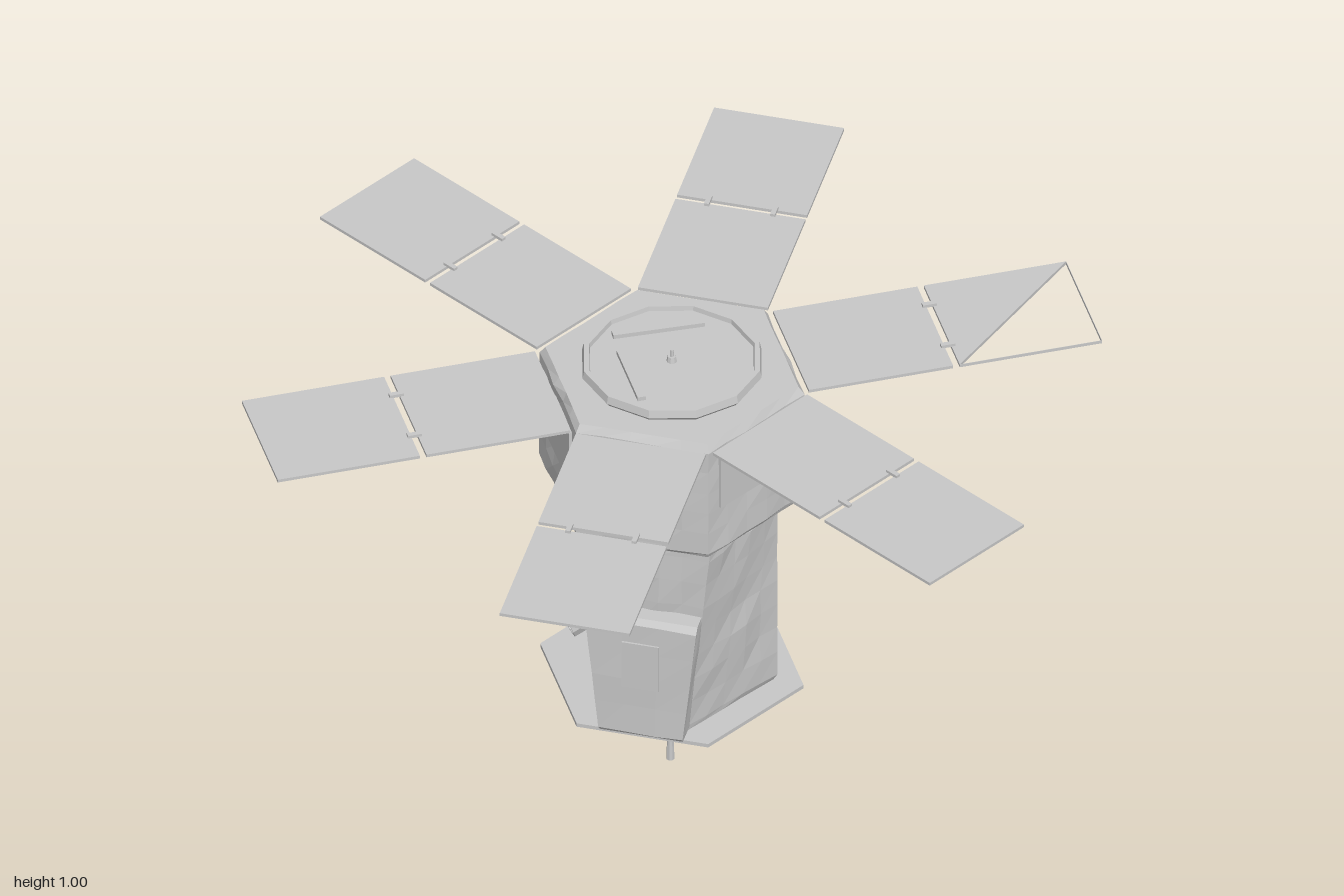
import * as THREE from 'three';

const rad = THREE.MathUtils.degToRad;

export function createModel() {
  const root = new THREE.Group();
  const grey = new THREE.MeshStandardMaterial({ color: 0xc8c8c8, flatShading: true, side: THREE.DoubleSide });
  grey.name = 'light grey';

  let seed = 7;
  const rnd = () => {
    seed = (seed * 16807) % 2147483647;
    return seed / 2147483647 - 0.5;
  };

  function add(name, geo, pos = [0, 0, 0], rotY = 0, parent = root) {
    const m = new THREE.Mesh(geo, grey);
    m.name = name;
    m.position.set(...pos);
    m.rotation.y = rotY;
    parent.add(m);
    return m;
  }
  const box = (w, h, d) => new THREE.BoxGeometry(w, h, d);

  // Lofts crumpled foil through levels {y, pts: [[x, z]...], rows}, corners kept sharp
  function foil(levels, div, amp) {
    const rings = [];
    levels.forEach((lv, i) => {
      const next = levels[i + 1];
      const rows = next ? lv.rows || 1 : 1;
      for (let r = 0; r < rows; r++) {
        const f = r / rows;
        const mix = (a, b) => a + (b - a) * f;
        const pts = next ? lv.pts.map((p, k) => [mix(p[0], next.pts[k][0]), mix(p[1], next.pts[k][1])]) : lv.pts;
        rings.push({ y: next ? mix(lv.y, next.y) : lv.y, pts });
      }
    });
    const pos = [], idx = [];
    const n = rings[0].pts.length * div;
    rings.forEach(({ y, pts }, ri) => {
      const end = ri === 0 || ri === rings.length - 1;
      pts.forEach((p, k) => {
        const q = pts[(k + 1) % pts.length];
        for (let d = 0; d < div; d++) {
          const f = d / div, a = d === 0 || end ? amp * 0.3 : amp;
          pos.push(p[0] + (q[0] - p[0]) * f + rnd() * a, y + (end ? 0 : rnd() * a), p[1] + (q[1] - p[1]) * f + rnd() * a);
        }
      });
      if (ri === 0) return;
      for (let k = 0; k < n; k++) {
        const a = (ri - 1) * n + k, b = (ri - 1) * n + (k + 1) % n;
        idx.push(a, a + n, b, b, a + n, b + n);
      }
    });
    // end caps
    const last = rings.length - 1;
    const centre = (ring) => {
      const c = ring.pts.reduce((s, p) => [s[0] + p[0], s[1] + p[1]], [0, 0]);
      pos.push(c[0] / ring.pts.length, ring.y, c[1] / ring.pts.length);
      return pos.length / 3 - 1;
    };
    const lo = centre(rings[0]), hi = centre(rings[last]);
    for (let k = 0; k < n; k++) {
      const j = (k + 1) % n;
      idx.push(lo, k, j, hi, last * n + j, last * n + k);
    }
    const g = new THREE.BufferGeometry();
    g.setAttribute('position', new THREE.Float32BufferAttribute(pos, 3));
    g.setIndex(idx);
    g.computeVertexNormals();
    return g;
  }
  const hex = (r) => Array.from({ length: 6 }, (_, i) => [r * Math.cos(rad(60 * i)), r * Math.sin(rad(60 * i))]);
  const rect = (w, z0, z1) => [[w, z0], [w, z1], [-w, z1], [-w, z0]];

  // Upper hexagonal bus
  add('upperBus', foil([
    { y: 0.615, pts: hex(0.312) },
    { y: 0.628, pts: hex(0.32), rows: 5 },
    { y: 0.925, pts: hex(0.32) },
    { y: 0.945, pts: hex(0.306) },
  ], 5, 0.007), [0, 0, 0]);
  add('waistPlate', new THREE.CylinderGeometry(0.28, 0.28, 0.025, 6), [0, 0.605, 0], rad(30));

  // Thin access plates on the four slanted bus faces
  for (const a of [30, 150, 210, 330]) {
    const x = 0.28 * Math.cos(rad(a)), z = 0.28 * Math.sin(rad(a));
    add('accessPlate', box(0.009, 0.15, 0.25), [x, 0.825, z], -rad(a));
  }

  // Roof disc with raised rim, slot bars and stub antenna
  const rim = [[0, 0.963], [0.198, 0.963], [0.2, 0.975], [0.213, 0.975], [0.217, 0.955], [0.205, 0.94]];
  add('roofDisc', new THREE.LatheGeometry(rim.map((p) => new THREE.Vector2(...p)).reverse(), 12));
  add('roofBar', box(0.22, 0.014, 0.02), [-0.06, 0.967, -0.105], 0.474);
  add('roofBar', box(0.19, 0.014, 0.02), [-0.077, 0.967, 0.083], -1.05);
  add('antennaBase', new THREE.CylinderGeometry(0.01, 0.013, 0.015, 8), [0, 0.97, 0]);
  add('antenna', new THREE.CylinderGeometry(0.004, 0.006, 0.035, 6), [0, 0.978, 0]);

  // Lower body: flat on one side, pointed on the other, tapering downward
  const section = (a, p) => [[p, 0], [a, 0.24], [-a, 0.24], [-a, -0.24], [a, -0.24]];
  add('lowerBody', foil([
    { y: 0.07, pts: section(0.1, 0.245) },
    { y: 0.085, pts: section(0.102, 0.255), rows: 7 },
    { y: 0.575, pts: section(0.152, 0.255) },
    { y: 0.6, pts: section(0.155, 0.238) },
  ], 5, 0.008));

  // Tapered equipment boxes on the front and back faces
  add('frontBox', foil([
    { y: 0.07, pts: rect(0.1, 0.22, 0.285) },
    { y: 0.08, pts: rect(0.102, 0.22, 0.293), rows: 4 },
    { y: 0.395, pts: rect(0.134, 0.22, 0.293) },
    { y: 0.41, pts: rect(0.134, 0.22, 0.28) },
  ], 3, 0.004));
  add('frontBoxPlate', box(0.09, 0.13, 0.006), [0.0, 0.28, 0.294]);
  add('backBox', foil([
    { y: 0.08, pts: rect(0.1, -0.285, -0.22) },
    { y: 0.14, pts: rect(0.108, -0.318, -0.22), rows: 4 },
    { y: 0.395, pts: rect(0.134, -0.318, -0.22) },
    { y: 0.41, pts: rect(0.134, -0.305, -0.22) },
  ], 3, 0.004));

  // Hexagonal base plate, shallow underside and small nozzle
  add('basePlate', new THREE.CylinderGeometry(0.318, 0.318, 0.01, 6), [0, 0.062, 0], rad(30));
  add('baseUnderside', new THREE.CylinderGeometry(0.26, 0.235, 0.014, 6), [0, 0.05, 0], rad(30));
  add('nozzle', new THREE.CylinderGeometry(0.008, 0.01, 0.055, 8), [0.065, 0.0275, 0.265]);

  // Tracker tube with an open end, pointing out of the flat side
  const from = new THREE.Vector3(-0.11, 0.345, 0.11), to = new THREE.Vector3(-0.21, 0.295, 0.185);
  const dir = to.clone().sub(from);
  const tubeProfile = [[0, 0], [0.032, 0], [0.034, 0.06], [0.046, 0.075], [0.046, dir.length()], [0.038, dir.length()], [0.034, 0.085], [0, 0.08]];
  const tracker = add('trackerTube', new THREE.LatheGeometry(tubeProfile.map((p) => new THREE.Vector2(...p)), 12), from.toArray());
  tracker.quaternion.setFromUnitVectors(new THREE.Vector3(0, 1, 0), dir.normalize());

  // Horn antenna leaning against the flat side
  const horn = add('horn', new THREE.CylinderGeometry(0.05, 0.01, 0.14, 12, 1, true), [-0.155, 0.49, 0]);
  horn.rotation.z = 0.12;
  add('hornRim', new THREE.TorusGeometry(0.048, 0.006, 6, 14).rotateX(Math.PI / 2), [-0.168, 0.56, 0]);

  // Six two-part solar wings; one outer panel is only half covered
  const w = 0.157, y = 0.93;
  for (let k = 0; k < 6; k++) {
    const wing = new THREE.Group();
    wing.name = 'solarWing';
    const angle = 60 * k - 30;
    wing.rotation.y = -rad(angle);
    root.add(wing);
    add('innerPanel', box(0.35, 0.008, 2 * w), [0.464, y, 0], 0, wing);
    if (k === 0) {
      const tri = new THREE.Shape([[0.655, -w], [1, -w], [0.655, w]].map((p) => new THREE.Vector2(...p)));
      const geo = new THREE.ExtrudeGeometry(tri, { depth: 0.008, bevelEnabled: false }).rotateX(Math.PI / 2);
      add('halfPanel', geo, [0, y + 0.004, 0], 0, wing);
      add('panelEdge', box(0.345, 0.008, 0.001), [0.8275, y, w], 0, wing);
      add('panelEdge', box(0.001, 0.008, 2 * w), [1, y, 0], 0, wing);
    } else {
      add('outerPanel', box(0.345, 0.008, 2 * w), [0.8275, y, 0], 0, wing);
    }
    for (const s of [-1, 1]) {
      add('hinge', box(0.034, 0.008, 0.012), [0.647, y + 0.007, s * 0.08], 0, wing);
    }
  }
  return root;
}
